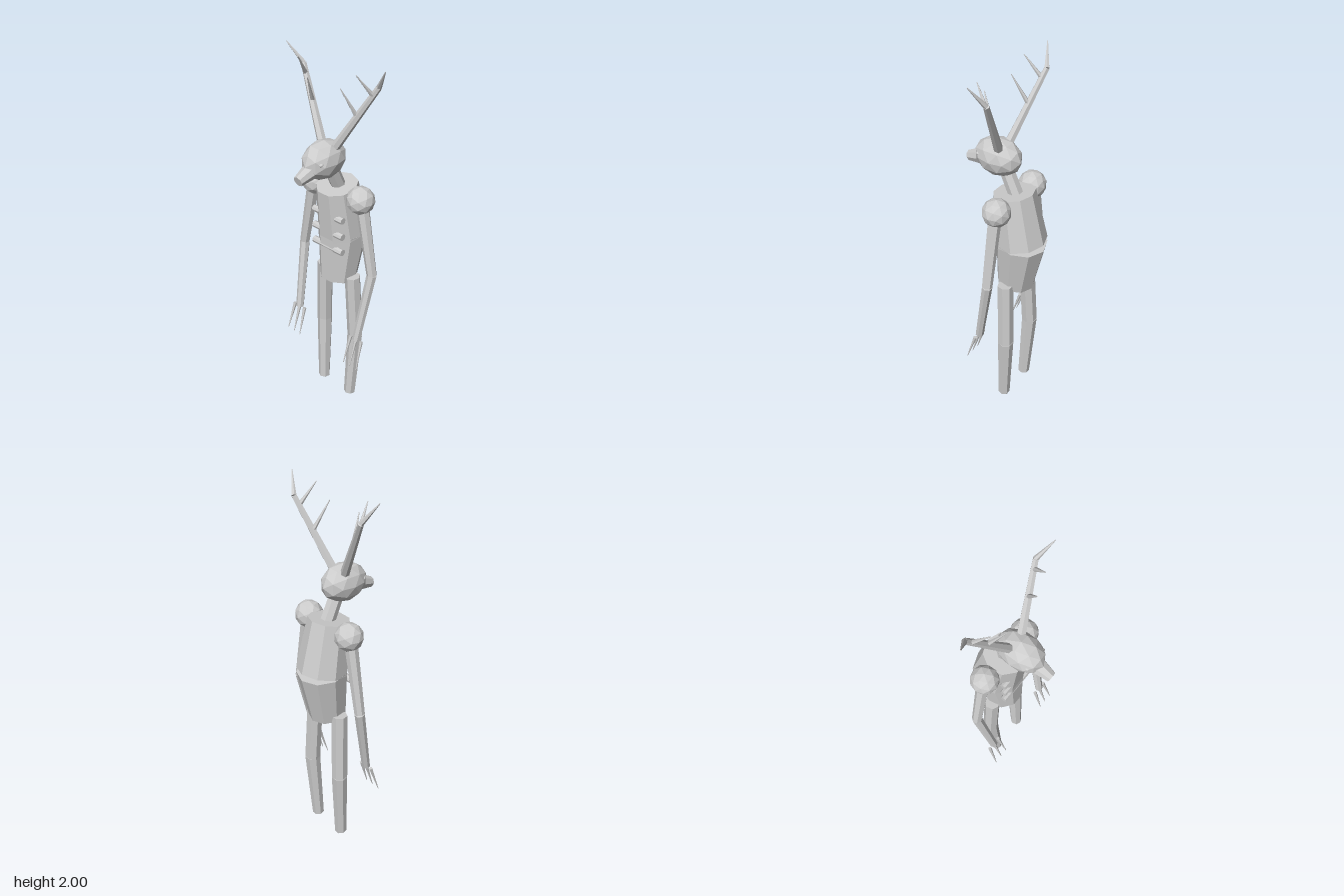
import * as THREE from 'three';

const hide = new THREE.MeshStandardMaterial({ color: 0xcccccc, flatShading: true });
hide.name = 'pale grey hide';

const UP = new THREE.Vector3(0, 1, 0);

function add(parent, name, geometry) {
  const mesh = new THREE.Mesh(geometry, hide);
  mesh.name = name;
  parent.add(mesh);
  return mesh;
}

// Tapered prism running from point a (radius ra) to point b (radius rb)
function limb(parent, name, a, b, ra, rb, sides = 7, spin = 0) {
  const from = new THREE.Vector3(...a);
  const axis = new THREE.Vector3(...b).sub(from);
  const mesh = add(parent, name, new THREE.CylinderGeometry(rb, ra, axis.length(), sides, 1, false, spin));
  mesh.position.copy(from).addScaledVector(axis, 0.5);
  mesh.quaternion.setFromUnitVectors(UP, axis.normalize());
}

// Faceted ball, optionally stretched
function ball(parent, name, centre, rx, ry = rx, rz = rx) {
  const mesh = add(parent, name, new THREE.IcosahedronGeometry(1, 1).scale(rx, ry, rz));
  mesh.position.set(...centre);
}

function buildSide(s) {
  const side = new THREE.Group();
  side.name = s > 0 ? 'leftSide' : 'rightSide';
  const p = (x, y, z) => [s * x, y, z];

  // Leg
  const knee = p(0.116, 0.43, -0.077);
  limb(side, 'thigh', knee, p(0.1, 0.82, -0.064), 0.043, 0.042);
  limb(side, 'shin', p(0.102, 0.004, -0.055), knee, 0.033, 0.043);

  // Arm
  const elbow = p(0.241, 0.9, -0.052);
  ball(side, 'shoulder', p(0.154, 1.305, -0.051), 0.073);
  limb(side, 'upperArm', elbow, p(0.165, 1.29, -0.051), 0.027, 0.034);
  limb(side, 'forearm', p(0.214, 0.505, 0.026), elbow, 0.022, 0.027);

  // Claws
  const claws = [[0.25, 0.262], [0.214, 0.215], [0.176, 0.17]];
  for (const [top, tip] of claws) {
    limb(side, 'claw', p(tip, 0.35, 0.077), p(top, 0.51, 0.027), 0.002, 0.01, 6);
  }

  // Antler: main beam, bent tip and two tines
  const bend = p(0.235, 1.9, -0.062);
  limb(side, 'antlerBeam', p(0.043, 1.575, 0.014), bend, 0.023, 0.014, 6);
  limb(side, 'antlerPoint', bend, p(0.304, 2, -0.018), 0.013, 0.002, 6);
  limb(side, 'antlerTine', p(0.142, 1.745, -0.027), p(0.103, 1.89, 0.046), 0.012, 0.002, 6);
  limb(side, 'antlerTine', p(0.212, 1.855, -0.053), p(0.178, 1.965, 0.028), 0.012, 0.002, 6);

  // Eye
  ball(side, 'eye', p(0.054, 1.525, 0.122), 0.014, 0.01, 0.014);
  return side;
}

export function createModel() {
  const model = new THREE.Group();
  model.name = 'antleredFigure';

  // Hunched trunk: two frustums meeting at the widest point of the back
  const waist = [0, 1.064, -0.094];
  limb(model, 'chest', waist, [0, 1.34, -0.047], 0.133, 0.108, 9, Math.PI);
  limb(model, 'abdomen', [0, 0.785, -0.062], waist, 0.1, 0.133, 9, Math.PI);

  // Rib bars, mostly sunk into the chest
  for (const y of [1.19, 1.095, 1.003]) {
    limb(model, 'ribBar', [-0.1, y, 0.015], [0.1, y, 0.015], 0.018, 0.018, 8);
  }

  // Neck, head and snout
  limb(model, 'neck', [0, 1.32, -0.062], [0, 1.48, 0.012], 0.038, 0.036);
  ball(model, 'head', [0, 1.511, 0.045], 0.088, 0.098, 0.128);
  limb(model, 'snout', [0, 1.492, 0.1], [0, 1.455, 0.22], 0.05, 0.027, 8);

  model.add(buildSide(1), buildSide(-1));
  return model;
}
